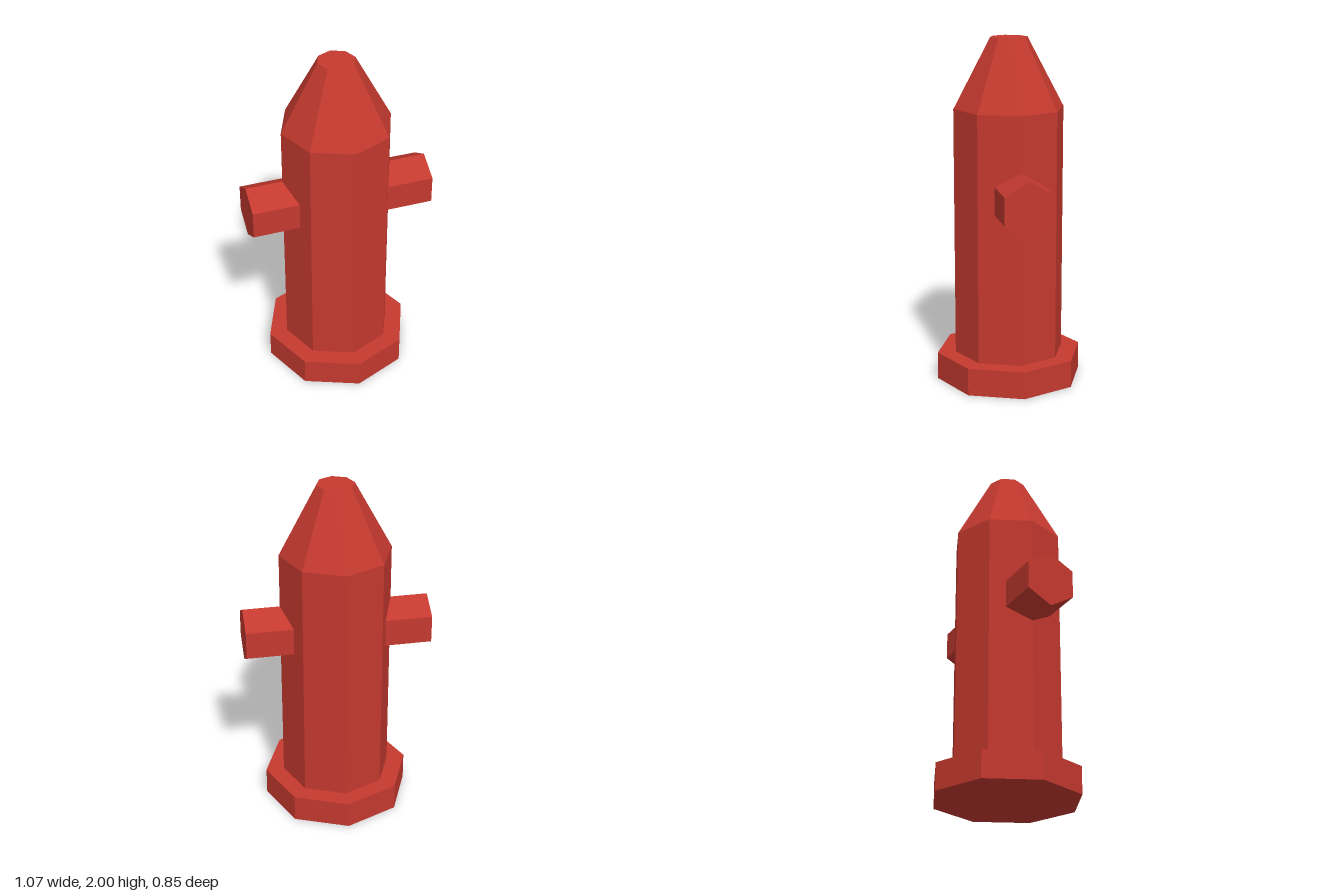
import * as THREE from 'three';

export function createModel() {
  const model = new THREE.Group();
  model.name = 'hydrant';

  const red = new THREE.MeshStandardMaterial({ color: 0xc4392f, flatShading: true });
  red.name = 'hydrant red';

  // Octagonal tier standing between two heights
  function tier(name, topRadius, bottomRadius, y0, y1) {
    const geometry = new THREE.CylinderGeometry(topRadius, bottomRadius, y1 - y0, 8);
    const mesh = new THREE.Mesh(geometry, red);
    mesh.name = name;
    mesh.position.y = (y0 + y1) / 2;
    model.add(mesh);
  }

  tier('baseFlange', 0.427, 0.427, 0, 0.16);
  tier('barrel', 0.32, 0.32, 0.16, 1.6);
  tier('taperedCap', 0.107, 0.32, 1.6, 2);

  // Hexagonal side outlets, corners pointing up and down
  for (const side of [1, -1]) {
    const geometry = new THREE.CylinderGeometry(0.16, 0.16, 0.333, 6, 1, false, Math.PI / 6);
    geometry.rotateZ(-side * Math.PI / 2);
    const outlet = new THREE.Mesh(geometry, red);
    outlet.name = side > 0 ? 'leftOutlet' : 'rightOutlet';
    outlet.position.set(side * 0.3667, 1.12, 0);
    model.add(outlet);
  }

  return model;
}
